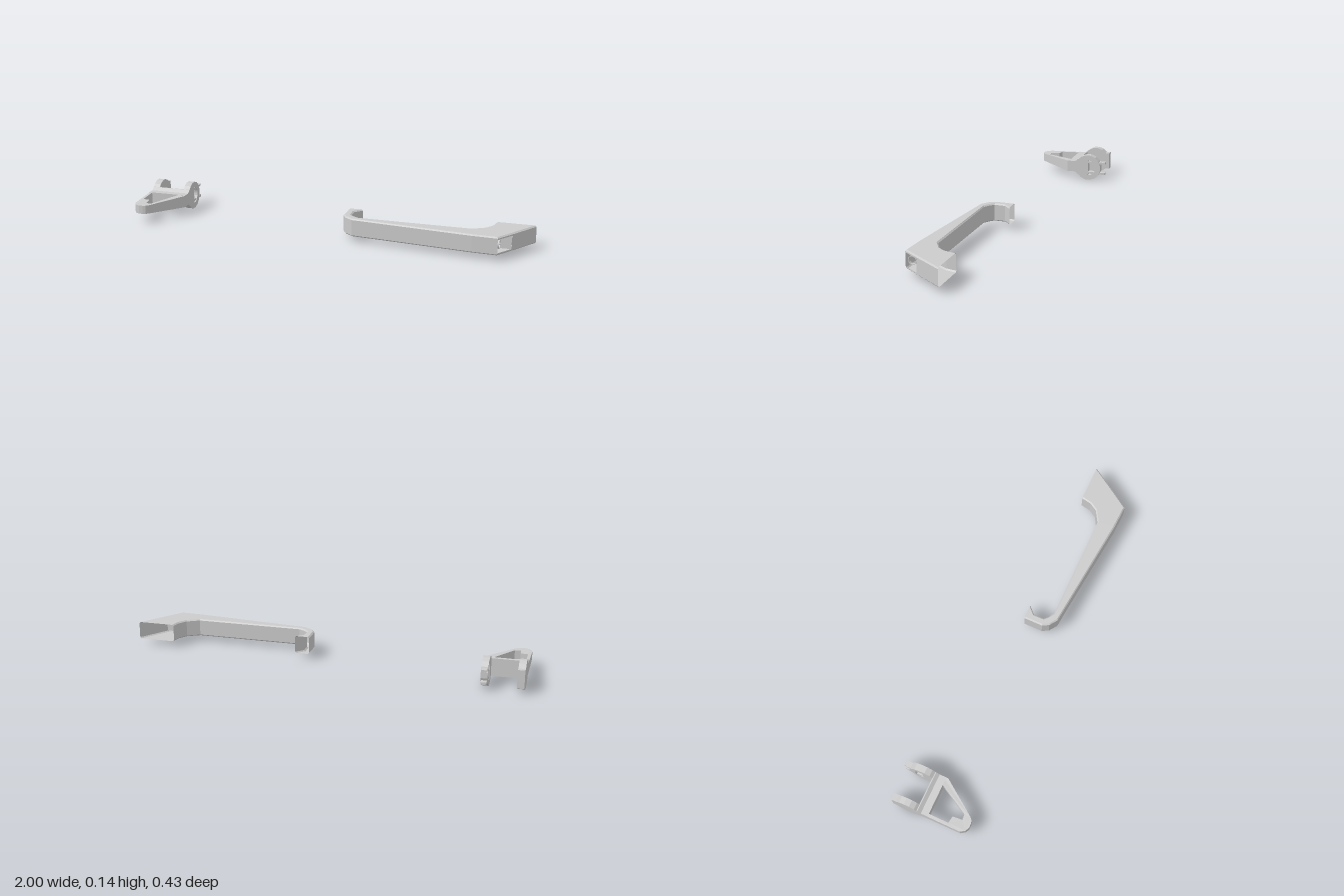
import * as THREE from 'three';

const grey = new THREE.MeshStandardMaterial({ color: 0xcccccc, flatShading: true });
const greyOpen = new THREE.MeshStandardMaterial({
  color: 0xcccccc, flatShading: true, side: THREE.DoubleSide,
});

function part(name, geometry, material = grey) {
  const mesh = new THREE.Mesh(geometry, material);
  mesh.name = name;
  return mesh;
}

function box(name, x0, x1, y0, y1, z0, z1) {
  const g = new THREE.BoxGeometry(x1 - x0, y1 - y0, z1 - z0);
  return part(name, g.translate((x0 + x1) / 2, (y0 + y1) / 2, (z0 + z1) / 2));
}

// Horizontal plate: outline given as [x, z], extruded in y
function plate(name, outline, hole, y0, y1) {
  const toPoints = (list) => list.map(([x, z]) => new THREE.Vector2(x, -z));
  const shape = new THREE.Shape(toPoints(outline));
  shape.holes.push(new THREE.Path(toPoints(hole)));
  const g = new THREE.ExtrudeGeometry(shape, { depth: y1 - y0, bevelEnabled: false });
  return part(name, g.rotateX(-Math.PI / 2).translate(0, y0, 0));
}

// Upright plate: shape drawn in (z, y), extruded across x
function cheek(name, shape, x0, x1) {
  const g = new THREE.ExtrudeGeometry(shape, { depth: x1 - x0, bevelEnabled: false });
  return part(name, g.rotateY(-Math.PI / 2).translate(x1, 0, 0));
}

function arc(cz, cy, r, from, to, n) {
  return Array.from({ length: n + 1 }, (_, i) => {
    const a = from + (to - from) * i / n;
    return new THREE.Vector2(cz + r * Math.cos(a), cy + r * Math.sin(a));
  });
}

// Hollow grip: bevelled cross-sections swept from the hook to the wide end
function gripGeometry() {
  // outer x, outer z, inner x, inner z
  const sections = [
    [0.083, -0.005, 0.155, -0.005], [0.083, 0.03, 0.12, 0.03],
    [0.083, 0.09, 0.12, 0.085], [0.10, 0.122, 0.14, 0.103],
    [0.14, 0.15, 0.17, 0.12], [0.73, 0.21, 0.715, 0.12],
    [0.85, 0.215, 0.775, 0.085], [0.905, 0.137, 0.80, 0.045],
    [1.0, -0.005, 0.81, -0.005],
  ];
  const y0 = 0.028, y1 = 0.117, e = 0.006;
  const rings = sections.map(([ox, oz, ix, iz]) => {
    const k = 0.007 / Math.hypot(ox - ix, oz - iz);
    const dx = (ix - ox) * k, dz = (iz - oz) * k;
    return [[ix, y0 + e, iz], [ix, y1 - e, iz], [ix - dx, y1, iz - dz],
      [ox + dx, y1, oz + dz], [ox, y1 - e, oz], [ox, y1 - 2 * e, oz],
      [ox, y0 + 2 * e, oz], [ox, y0 + e, oz], [ox + dx, y0, oz + dz], [ix - dx, y0, iz - dz]];
  });
  const pos = [];
  for (let i = 0; i < rings.length - 1; i++) {
    for (let j = 0; j < 10; j++) {
      if (i === 6 && j === 5) continue; // lock opening
      const n = (j + 1) % 10;
      const a = rings[i][j], b = rings[i][n], c = rings[i + 1][n], d = rings[i + 1][j];
      pos.push(...a, ...b, ...c, ...a, ...c, ...d);
    }
  }
  const g = new THREE.BufferGeometry();
  g.setAttribute('position', new THREE.Float32BufferAttribute(pos, 3));
  g.computeVertexNormals();
  return g;
}

function buildHandle() {
  const handle = new THREE.Group();
  handle.name = 'pullHandle';
  handle.add(part('grip', gripGeometry(), greyOpen));

  // Lock recess: flat floor and a short round barrel facing the end
  handle.add(box('lockRecessFloor', 0.80, 0.904, 0.039, 0.106, 0.131, 0.137));
  const barrel = new THREE.Shape(arc(0.181, 0.073, 0.021, 0, Math.PI * 2, 12));
  barrel.holes.push(new THREE.Path(arc(0.181, 0.073, 0.018, 0, Math.PI * 2, 12)));
  handle.add(cheek('lockBarrel', barrel, 0.84, 0.855));
  return handle;
}

function buildBracket() {
  const bracket = new THREE.Group();
  bracket.name = 'hingeBracket';
  const cy = 0.0725, cz = -0.12, r = 0.071;

  // Triangular frame, slimmer towards the tip
  const frame = plate('frame',
    [[-1, -0.03], [-0.797, -0.03], [-0.797, 0], [-0.918, 0.172], [-0.93, 0.183],
      [-0.945, 0.187], [-0.965, 0.187], [-0.985, 0.178], [-1, 0.155]],
    [[-0.985, -0.01], [-0.985, 0.09], [-0.95, 0.095], [-0.945, 0.143],
      [-0.917, 0.14], [-0.835, -0.01]], cy - 0.03, cy + 0.03);
  const p = frame.geometry.attributes.position;
  for (let i = 0; i < p.count; i++) {
    const t = Math.min(1, Math.max(0, p.getZ(i) / 0.15));
    p.setY(i, cy + (p.getY(i) - cy) * (1 - 0.28 * t));
  }
  frame.geometry.computeVertexNormals();
  bracket.add(frame);

  // Crossbar with chamfered front edges
  const bar = new THREE.Shape([[-0.01, 0.043], [-0.01, 0.103], [-0.045, 0.103],
    [-0.062, 0.117], [-0.067, 0.117], [-0.067, 0.029], [-0.062, 0.029], [-0.045, 0.043],
  ].map(([z, y]) => new THREE.Vector2(z, y)));
  bracket.add(cheek('crossbar', bar, -1, -0.797));

  // Round cheek with a half-moon hole
  const turn = Math.PI / 16;
  const disc = new THREE.Shape(arc(cz, cy, r, turn, Math.PI * 2 + turn, 16));
  disc.holes.push(new THREE.Path(arc(cz, cy, 0.043, Math.PI / 2, Math.PI * 1.5, 10)));
  bracket.add(cheek('roundCheek', disc, -0.83, -0.797));

  // Square-ended cheek
  const block = new THREE.Shape([
    ...arc(cz, cy, r, -Math.PI * 0.78, Math.PI * 0.78, 13),
    new THREE.Vector2(-0.196, 0.1175), new THREE.Vector2(-0.196, 0.0275),
  ]);
  bracket.add(cheek('squareCheek', block, -1, -0.966));

  // Pair of clip prongs with small heads
  for (const s of [-1, 1]) {
    const y = cy + s * 0.03;
    bracket.add(box('clipProng', -0.828, -0.80, y - 0.005, y + 0.005, -0.208, -0.12));
    bracket.add(box('clipHead', -0.826, -0.802, y - 0.006, y + 0.006, -0.216, -0.207));
  }
  return bracket;
}

export function createModel() {
  const model = new THREE.Group();
  model.name = 'doorHandleSet';
  model.add(buildHandle(), buildBracket());
  return model;
}
